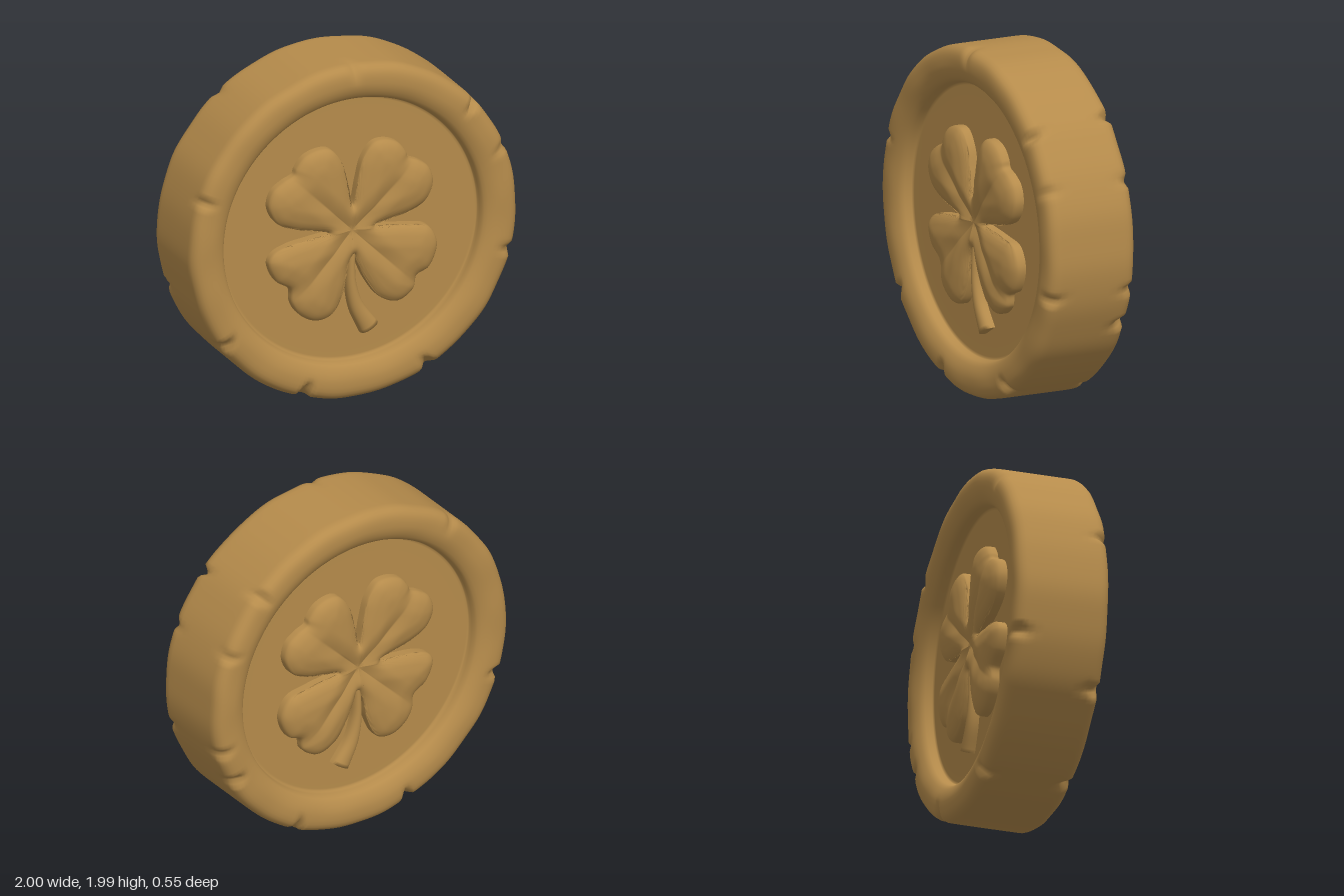
import * as THREE from 'three';
import { mergeVertices } from 'three/addons/utils/BufferGeometryUtils.js';

const FACE = 0.174; // height of the recessed face
const clamp01 = (v) => Math.min(1, Math.max(0, v));
const ease = (a, b, v) => { const t = clamp01((v - a) / (b - a)); return t * t * (3 - 2 * t); };

// Chips in the rim: angle in degrees, side, half width, depth, slant
const CHIPS = [
  [43, 1, 0.035, 0.04, 0.3], [21, 1, 0.04, 0.02, -0.2], [-14, 1, 0.045, 0.025, 0.2],
  [-64, 1, 0.05, 0.035, -0.3], [253, 1, 0.045, 0.045, 0.3], [214, 1, 0.045, 0.04, -0.3],
  [162, 1, 0.04, 0.025, 0.2], [90, 1, 0.05, 0.015, 0],
  [44, -1, 0.045, 0.035, -0.3], [24, -1, 0.045, 0.02, 0.3], [-13, -1, 0.045, 0.025, 0.2],
  [-27, -1, 0.05, 0.04, 0], [-62, -1, 0.045, 0.03, 0.3], [128, -1, 0.05, 0.015, -0.2],
  [200, -1, 0.045, 0.035, 0.2], [250, -1, 0.045, 0.035, -0.3],
];

// Coin body: lathed profile, slightly worn and chipped
function coinGeometry() {
  const half = [[0, FACE], [0.4, FACE], [0.7, FACE], [0.765, FACE], [0.777, FACE + 0.001], [0.782, 0.182],
    [0.785, 0.2], [0.789, 0.222], [0.798, 0.238], [0.815, 0.252], [0.84, 0.265], [0.865, 0.273],
    [0.89, 0.277], [0.92, 0.277], [0.945, 0.274], [0.965, 0.267], [0.98, 0.256], [0.992, 0.24],
    [0.999, 0.22], [1, 0.195], [1, 0.15], [1, 0.1], [1, 0.05]];
  const profile = [
    ...half.map(([r, z]) => new THREE.Vector2(r, -z)),
    new THREE.Vector2(1, 0),
    ...half.slice().reverse().map(([r, z]) => new THREE.Vector2(r, z)),
  ];
  let geo = new THREE.LatheGeometry(profile, 288);
  geo.rotateX(Math.PI / 2);
  geo.deleteAttribute('normal');
  geo.deleteAttribute('uv');
  geo = mergeVertices(geo, 1e-4);
  const p = geo.attributes.position;
  for (let i = 0; i < p.count; i++) {
    const x = p.getX(i), y = p.getY(i);
    let z = p.getZ(i), r = Math.hypot(x, y);
    if (r < 0.775) continue;
    const a = Math.atan2(y, x), r0 = r, z0 = z;
    r -= ease(0.82, 0.95, r0) * (0.003 + 0.002 * Math.sin(13 * a + 1) + 0.001 * Math.sin(23 * a));
    z -= Math.sign(z0) * ease(0.8, 0.9, r0) * 0.0015 * (1 + Math.sin(17 * a + 3 * Math.sign(z0)));
    for (const [deg, side, width, depth, slant] of CHIPS) {
      const d = a - deg * Math.PI / 180;
      const turn = Math.atan2(Math.sin(d), Math.cos(d)) + slant * (r0 - 0.95 + side * z0 - 0.2);
      const v = clamp01(1 - Math.abs(turn) / width);
      if (!v || z0 * side <= 0) continue;
      r -= depth * v * ease(0.14, 0.26, z0 * side) * ease(0.88, 0.98, r0);
      z -= side * depth * v * 0.8 * ease(0.87, 0.98, r0) * ease(0.14, 0.26, z0 * side);
    }
    p.setXYZ(i, x * r / r0, y * r / r0, z);
  }
  geo.computeVertexNormals();
  return geo;
}

// Clover outline, counter-clockwise from the right-hand gap
const OUTLINE = [
  [0.14, 0.01], [0.24, 0.033], [0.36, 0.06], [0.45, 0.11], [0.495, 0.21], [0.472, 0.3], [0.41, 0.35], [0.343, 0.382],
  [0.33, 0.42], [0.28, 0.48], [0.2, 0.51], [0.13, 0.5], [0.066, 0.42], [0.03, 0.29], [0, 0.155],
  [-0.03, 0.29], [-0.066, 0.42], [-0.13, 0.5], [-0.2, 0.51], [-0.29, 0.48], [-0.34, 0.42], [-0.355, 0.382],
  [-0.42, 0.35], [-0.485, 0.3], [-0.51, 0.21], [-0.46, 0.11], [-0.36, 0.06], [-0.24, 0.03], [-0.15, 0.005],
  [-0.26, -0.012], [-0.4, -0.035], [-0.485, -0.075], [-0.51, -0.125], [-0.465, -0.235], [-0.378, -0.3],
  [-0.37, -0.38], [-0.325, -0.455], [-0.23, -0.51], [-0.13, -0.49], [-0.055, -0.35], [-0.025, -0.2], [0.01, -0.15],
  [0.03, -0.2], [0.08, -0.31], [0.17, -0.43], [0.28, -0.47], [0.375, -0.41], [0.395, -0.335],
  [0.47, -0.295], [0.52, -0.16], [0.465, -0.05], [0.33, -0.018], [0.24, -0.005],
];

// Clover leaves: steep sides, rounded edges and a crease down each leaf
function cloverGeometry(side) {
  const curve = new THREE.CatmullRomCurve3(OUTLINE.map(([x, y]) => new THREE.Vector3(x, y, 0)), true, 'centripetal');
  const around = 424, rings = 22;
  const edge = curve.getPoints(around).slice(0, around);
  const pos = [], idx = [];
  for (let k = 0; k <= rings; k++) {
    const s = 1 - Math.pow(1 - k / rings, 1.6);
    for (const e of edge) {
      const x = e.x * s, y = e.y * s;
      let d = Infinity;
      for (const q of edge) d = Math.min(d, Math.hypot(q.x - x, q.y - y));
      const round = Math.sqrt(1 - (1 - clamp01(d / 0.06)) ** 2);
      const r = Math.hypot(x, y);
      const across = Math.abs(Math.abs(x) - Math.abs(y)) / Math.SQRT2;
      const crease = 0.026 * (1 - ease(-0.09, 0.09, across)) * 2 * (1 - 0.75 * ease(0.2, 0.48, r));
      pos.push(x, y, side * (FACE + 0.032 + 0.04 * round + 0.022 * ease(0, 0.13, d) * ease(0.03, 0.2, r)
        - crease * round));
    }
  }
  for (const e of edge) pos.push(e.x, e.y, side * (FACE - 0.004));
  for (let k = 0; k <= rings; k++) for (let i = 0; i < around; i++) {
    const j = (i + 1) % around, a = k * around + i, b = k * around + j, c = a + around, d = b + around;
    if (side > 0) idx.push(a, c, d, a, d, b);
    else idx.push(a, d, c, a, b, d);
  }
  return surface(pos, idx);
}

// Stem: rounded cross-sections that widen along a bent path
function stemGeometry(side) {
  const path = new THREE.CatmullRomCurve3([[0.005, -0.1], [-0.002, -0.22], [0.002, -0.34], [0.035, -0.47], [0.112, -0.605]]
    .map(([x, y]) => new THREE.Vector3(x, y, 0)));
  const steps = 28, cross = 14, pos = [], idx = [];
  for (let k = 0; k <= steps + 1; k++) {
    const t = Math.min(1, k / steps), c = path.getPoint(t), g = path.getTangent(t);
    const w = 0.024 + 0.036 * t * t, h = k > steps ? 0 : 0.058 + 0.01 * t;
    for (let i = 0; i <= cross; i++) {
      const u = -Math.cos(Math.PI * i / cross);
      const rise = Math.pow(Math.max(0, 1 - u * u), 0.3);
      pos.push(c.x - g.y * w * u, c.y + g.x * w * u, side * (FACE - 0.004 + h * rise));
    }
  }
  const row = cross + 1;
  for (let k = 0; k <= steps; k++) for (let i = 0; i < cross; i++) {
    const a = k * row + i, b = a + 1, c = a + row, d = c + 1;
    if (side > 0) idx.push(a, c, d, a, d, b);
    else idx.push(a, d, c, a, b, d);
  }
  return surface(pos, idx);
}

function surface(pos, idx) {
  const geo = new THREE.BufferGeometry();
  geo.setAttribute('position', new THREE.Float32BufferAttribute(pos, 3));
  geo.setIndex(idx);
  const merged = mergeVertices(geo, 1e-5);
  merged.computeVertexNormals();
  return merged;
}

export function createModel() {
  const gold = new THREE.MeshStandardMaterial({ color: 0xb58b4b });
  gold.name = 'old gold';
  const group = new THREE.Group();
  group.name = 'coin';
  const add = (name, geo) => {
    const mesh = new THREE.Mesh(geo, gold);
    mesh.name = name;
    mesh.position.y = 1;
    group.add(mesh);
  };
  add('coinBody', coinGeometry());
  for (const [label, side] of [['front', 1], ['back', -1]]) {
    add(label + 'Clover', cloverGeometry(side));
    add(label + 'Stem', stemGeometry(side));
  }
  return group;
}
